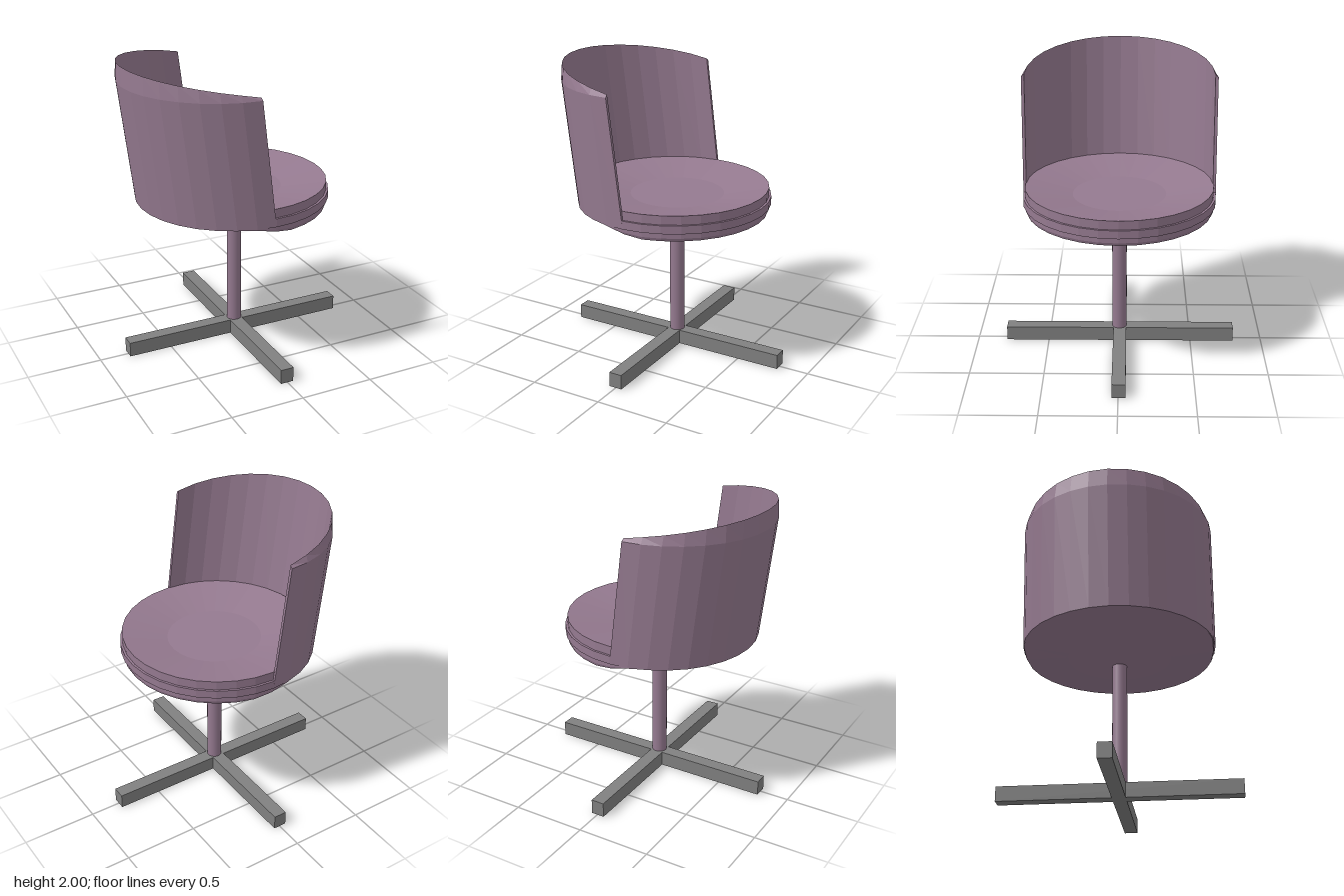
import * as THREE from 'three';

const SIDES = 32;
const SEAT_X = -0.02; // seat circle sits slightly behind the column

const mauve = new THREE.MeshStandardMaterial({ color: 0x957a90 });
mauve.name = 'mauve upholstery';
const grey = new THREE.MeshStandardMaterial({ color: 0x808080 });
grey.name = 'grey metal';

// Split shared vertices so every facet is flat
function faceted(geo) {
  const g = geo.index ? geo.toNonIndexed() : geo;
  g.computeVertexNormals();
  return g;
}

function mesh(name, geo, mat) {
  const m = new THREE.Mesh(geo, mat);
  m.name = name;
  return m;
}

// Turned seat layer; outer rings are shifted back, optional rule moves vertices
function seatLayer(name, profile, rule) {
  const geo = new THREE.LatheGeometry(profile.map(([r, y]) => new THREE.Vector2(r, y)), SIDES);
  const p = geo.attributes.position;
  const v = new THREE.Vector3();
  for (let i = 0; i < p.count; i++) {
    v.fromBufferAttribute(p, i);
    const outer = Math.hypot(v.x, v.z) > 0.5;
    if (outer && rule) rule(v);
    if (outer) v.x += SEAT_X;
    p.setXYZ(i, v.x, v.y, v.z);
  }
  return mesh(name, faceted(geo), mauve);
}

// Half-round leaning shell: a four-point section swept around the back
function backrestGeometry() {
  const steps = SIDES / 2;
  const pos = [];
  const idx = [];
  for (let i = 0; i <= steps; i++) {
    const a = Math.PI / 2 + (Math.PI * i) / steps;
    const back = Math.max(0, -Math.cos(a));
    const crest = 1.89 + 0.11 * Math.pow(back, 0.9);
    const section = [[0.65, 1.045], [0.65, 1.875], [0.63, crest], [0.63, 1.1]];
    for (const [r, y] of section) {
      const lean = -0.1265 * (y - 1.045);
      pos.push(SEAT_X + lean + r * Math.cos(a), y, r * Math.sin(a));
    }
    if (i === steps) break;
    for (let k = 0; k < 4; k++) {
      const p = i * 4 + k, q = i * 4 + ((k + 1) % 4);
      idx.push(p, q, q + 4, p, q + 4, p + 4);
    }
  }
  // End caps
  const e = steps * 4;
  idx.push(0, 2, 1, 0, 3, 2, e, e + 1, e + 2, e, e + 2, e + 3);
  const geo = new THREE.BufferGeometry();
  geo.setAttribute('position', new THREE.Float32BufferAttribute(pos, 3));
  geo.setIndex(idx);
  return faceted(geo);
}

export function createModel() {
  const chair = new THREE.Group();
  chair.name = 'swivelChair';

  // Crossed floor beams
  const base = new THREE.Group();
  base.name = 'crossBase';
  for (let i = 0; i < 2; i++) {
    const beam = mesh('baseBeam', new THREE.BoxGeometry(1.595, 0.1, 0.09), grey);
    beam.position.set(-0.003, 0.05, -0.003);
    beam.rotation.y = (i * Math.PI) / 2;
    base.add(beam);
  }
  chair.add(base);

  // Central post
  const column = mesh('column', new THREE.CylinderGeometry(0.05, 0.05, 0.85, 20), mauve);
  column.position.y = 0.515;
  chair.add(column);

  // Shallow pan whose rim rises into the backrest
  chair.add(seatLayer('seatPan',
    [[0, 0.93], [0.05, 0.93], [0.35, 0.988], [0.628, 0.99], [0.636, 1.01], [0.636, 1.046]],
    (v) => {
      const t = 1 - THREE.MathUtils.smoothstep(v.x, -0.2, 0.12);
      v.y = THREE.MathUtils.lerp(v.y, 1.046, t);
      const s = THREE.MathUtils.lerp(1, 0.648 / Math.hypot(v.x, v.z), t);
      v.x *= s;
      v.z *= s;
    }));

  // Projecting band and dished cushion
  chair.add(seatLayer('seatBand', [[0.6, 1.045], [0.65, 1.045], [0.65, 1.1], [0.6, 1.1]]));
  chair.add(seatLayer('seatCushion',
    [[0.635, 1.1], [0.635, 1.16], [0.315, 1.105], [0, 1.105]]));

  chair.add(mesh('backrest', backrestGeometry(), mauve));
  return chair;
}
